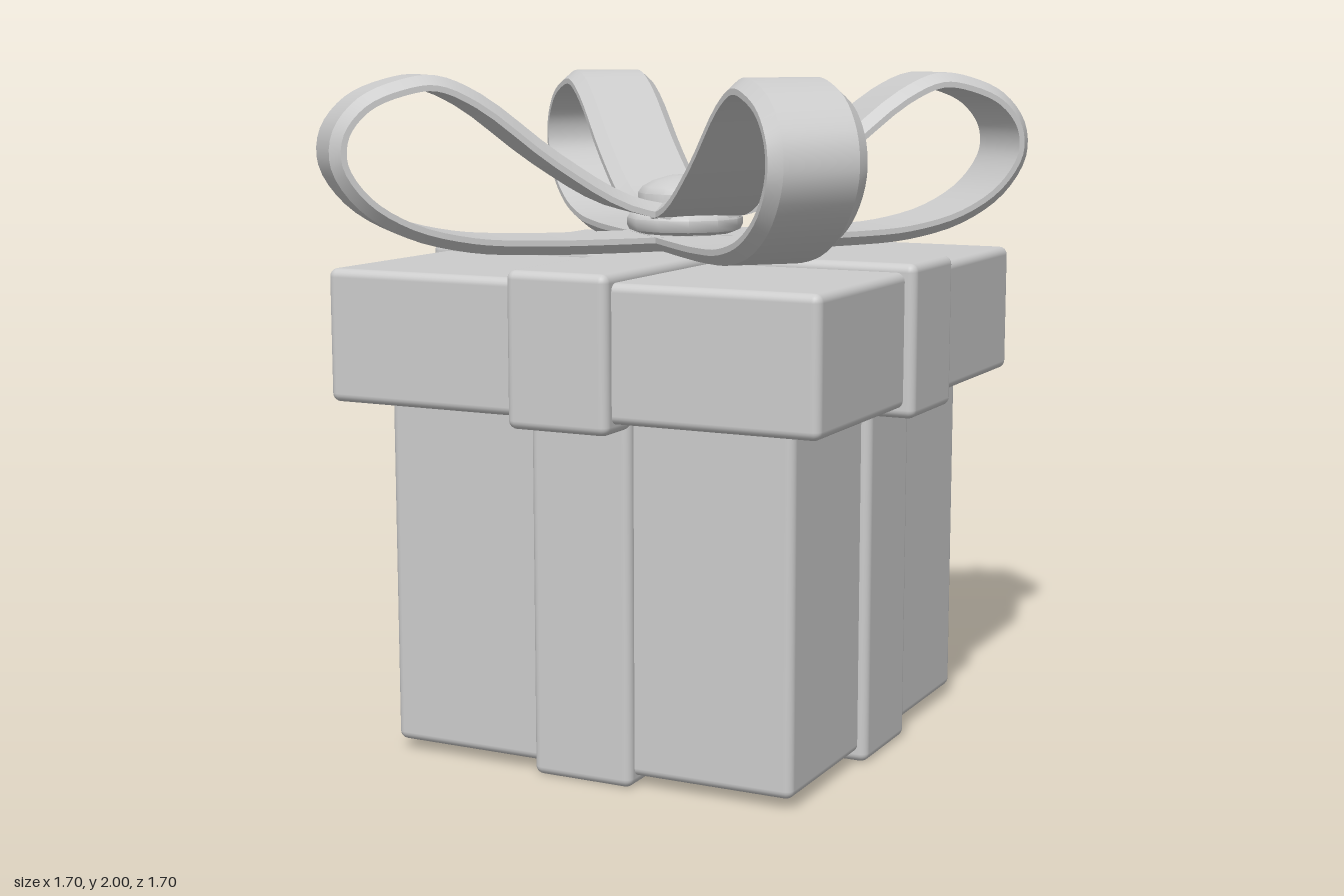
import * as THREE from 'three';
import { toCreasedNormals } from 'three/addons/utils/BufferGeometryUtils.js';
import { RoundedBoxGeometry } from 'three/addons/geometries/RoundedBoxGeometry.js';

const material = new THREE.MeshStandardMaterial({ color: 0xcccccc });

// Soft-edged block centred on the y axis, from y0 to y1
function block(name, width, depth, y0, y1) {
  const mesh = new THREE.Mesh(new RoundedBoxGeometry(width, y1 - y0, depth, 3, 0.025), material);
  mesh.name = name;
  mesh.position.y = (y0 + y1) / 2;
  return mesh;
}

// Two crossing bands that wrap a block
function crossBands(name, length, y0, y1) {
  const group = new THREE.Group();
  group.name = name;
  group.add(block(name + 'Across', length, 0.316, y0, y1), block(name + 'Along', 0.316, length, y0, y1));
  return group;
}

// Ribbon loop: a bevelled strip swept along a closed-looking bow profile (radius, height)
function bowLoopGeometry() {
  const profile = [
    [0, 1.48], [0.28, 1.477], [0.5, 1.479], [0.69, 1.492], [0.87, 1.538], [1.01, 1.625], [1.085, 1.74],
    [1.078, 1.845], [1.005, 1.935], [0.89, 1.985], [0.78, 1.998], [0.65, 1.945], [0.415, 1.77],
    [0.2, 1.645], [0, 1.605],
  ].map(([r, y]) => new THREE.Vector3(r, y, 0));
  const path = new THREE.CatmullRomCurve3(profile, false, 'centripetal');

  // Cross-section as [sideways, inward]
  const section = [[0.105, 0], [0.138, 0.028], [0.138, 0.045], [-0.138, 0.045], [-0.138, 0.028], [-0.105, 0]];
  const steps = 56;
  const n = section.length;
  const positions = [];
  const index = [];
  for (let i = 0; i <= steps; i++) {
    const p = path.getPoint(i / steps);
    const t = path.getTangent(i / steps);
    for (const [side, inward] of section) {
      positions.push(p.x - t.y * inward, p.y + t.x * inward, side);
    }
    if (i === steps) continue;
    for (let j = 0; j < n; j++) {
      const a = i * n + j;
      const b = i * n + ((j + 1) % n);
      index.push(a, a + n, b, b, a + n, b + n);
    }
  }
  const geometry = new THREE.BufferGeometry();
  geometry.setAttribute('position', new THREE.Float32BufferAttribute(positions, 3));
  geometry.setIndex(index);
  // Make sure the surface faces outward
  const v = (k) => new THREE.Vector3().fromArray(positions, 3 * k);
  let volume = 0;
  for (let k = 0; k < index.length; k += 3) {
    volume += v(index[k]).dot(v(index[k + 1]).cross(v(index[k + 2])));
  }
  if (volume < 0) geometry.setIndex(index.reverse());
  return toCreasedNormals(geometry, 0.6);
}

export function createModel() {
  const model = new THREE.Group();
  model.name = 'giftBox';

  // Box and lid with their wrapping bands
  model.add(
    block('boxBody', 1.284, 1.284, 0.03, 1.12),
    crossBands('boxBand', 1.34, 0, 1.07),
    block('lid', 1.536, 1.536, 1.062, 1.45),
    crossBands('lidBand', 1.6, 1.032, 1.475),
  );

  // Four bow loops on the diagonals
  const bow = new THREE.Group();
  bow.name = 'bow';
  const loop = bowLoopGeometry();
  for (let i = 0; i < 4; i++) {
    const mesh = new THREE.Mesh(loop, material);
    mesh.name = 'bowLoop' + (i + 1);
    mesh.rotation.y = Math.PI / 4 + (i * Math.PI) / 2;
    bow.add(mesh);
  }

  // Knot with a flange and a domed top
  const knotProfile = [
    [0, 1.5], [0.14, 1.525], [0.168, 1.535], [0.175, 1.55], [0.175, 1.57], [0.165, 1.585], [0.142, 1.595],
    [0.142, 1.645], [0.128, 1.664], [0.095, 1.682], [0.05, 1.695], [0, 1.7],
  ].map(([r, y]) => new THREE.Vector2(r, y));
  const knot = new THREE.Mesh(toCreasedNormals(new THREE.LatheGeometry(knotProfile, 12), 0.7), material);
  knot.name = 'bowKnot';
  bow.add(knot);
  model.add(bow);

  return model;
}
